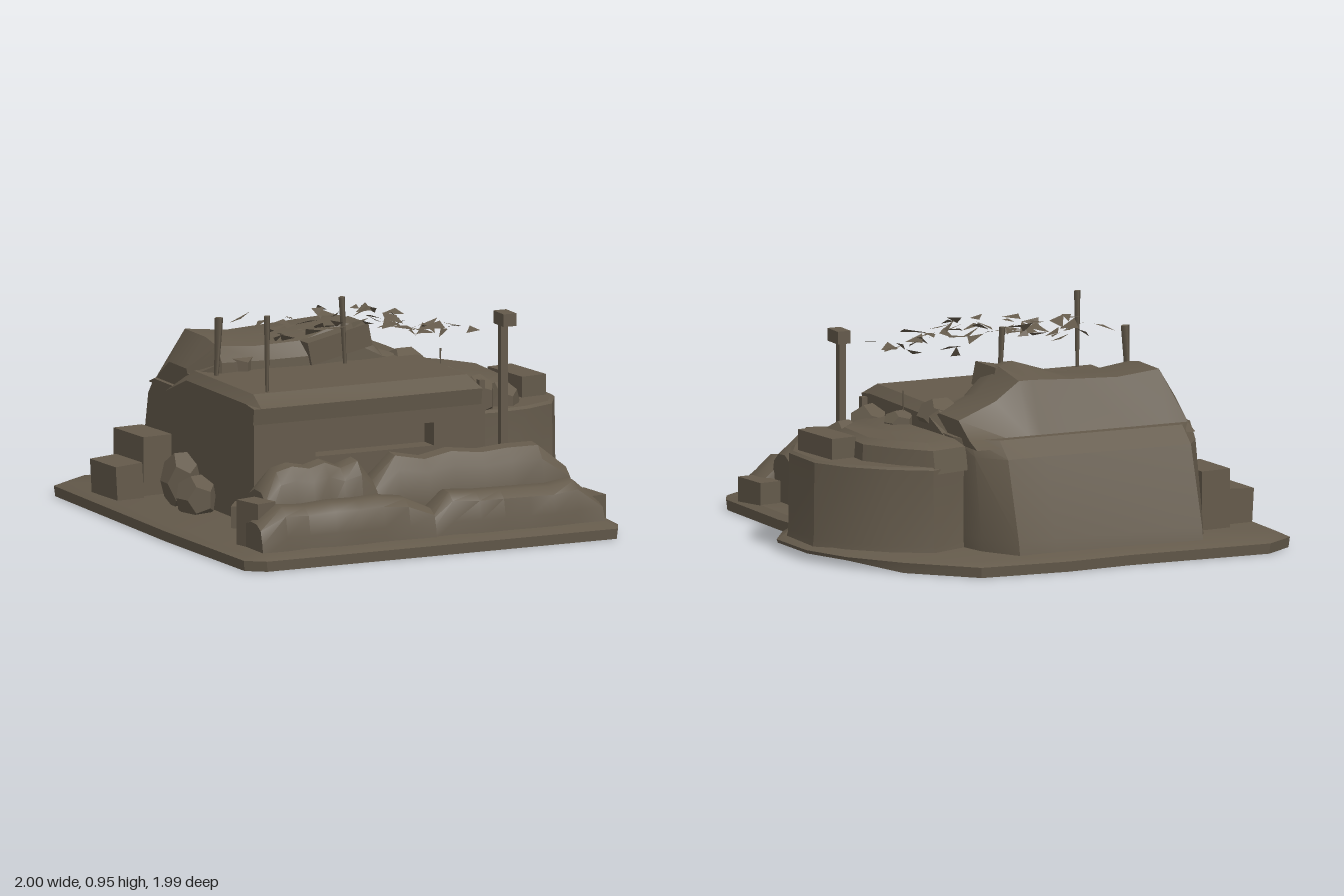
import * as THREE from 'three';
import { toCreasedNormals } from 'three/addons/utils/BufferGeometryUtils.js';

const earth = new THREE.MeshStandardMaterial({ color: 0x645a4b });
earth.name = 'earth brown';
const netting = new THREE.MeshStandardMaterial({ color: 0x645a4b, side: THREE.DoubleSide });
netting.name = 'net brown';

let seed = 11;
const rand = (a = 0, b = 1) => {
  seed = (seed * 16807) % 2147483647;
  return a + (b - a) * (seed / 2147483647);
};

// Closed solid skinned over rings of [x, y, z] points, with fan caps
function loft(rings, crease = 0.5) {
  const n = rings[0].length, pos = rings.flat(2), idx = [];
  for (let r = 0; r < rings.length - 1; r++)
    for (let i = 0; i < n; i++) {
      const a = r * n + i, b = r * n + (i + 1) % n;
      idx.push(a, b, a + n, b, b + n, a + n);
    }
  [0, rings.length - 1].forEach((r) => {
    const c = pos.length / 3;
    for (let k = 0; k < 3; k++) pos.push(rings[r].reduce((s, p) => s + p[k], 0) / n);
    for (let i = 0; i < n; i++) {
      const a = r * n + i, b = r * n + (i + 1) % n;
      if (r === 0) idx.push(c, b, a); else idx.push(c, a, b);
    }
  });
  // Turn the faces outwards
  const v = (i) => new THREE.Vector3().fromArray(pos, i * 3);
  let volume = 0;
  for (let i = 0; i < idx.length; i += 3) volume += v(idx[i]).dot(v(idx[i + 1]).cross(v(idx[i + 2])));
  if (volume < 0) idx.reverse();
  const g = new THREE.BufferGeometry();
  g.setAttribute('position', new THREE.Float32BufferAttribute(pos, 3));
  g.setIndex(idx);
  return toCreasedNormals(g, crease);
}

export function createModel() {
  const model = new THREE.Group();
  const add = (name, geo, mat = earth) => {
    const m = new THREE.Mesh(geo, mat);
    m.name = name;
    model.add(m);
    return m;
  };
  const box = (name, x, y, z, w, h, d, ry = 0, rz = 0) => {
    const m = add(name, new THREE.BoxGeometry(w, h, d));
    m.position.set(x, y, z);
    m.rotation.set(0, ry, rz);
    return m;
  };
  // Outline in x, z scaled about a centre, set at height y
  const ring = (outline, y, s = 1, cx = 0, cz = 0) =>
    outline.map(([x, z]) => [cx + (x - cx) * s, y, cz + (z - cz) * s]);

  // Ground slab, with a raised lobe under the annex
  const ground = [[-0.99, -0.9], [-0.85, -1], [-0.2, -0.98], [0.1, -1], [0.5, -0.97], [0.75, -0.72],
    [0.91, -0.5], [0.995, -0.28], [1, 0], [0.9, 0.15], [0.78, 0.2], [0.8, 0.4], [0.8, 0.91],
    [0.76, 0.99], [-0.9, 0.99], [-0.98, 0.93], [-1, 0.2]];
  const lift = (r) => r.map(([x, y, z]) => [x, x > 0.81 ? Math.max(y, 0.03) : y, z]);
  add('ground', loft([lift(ring(ground, 0, 0.995)), ring(ground, 0.045), ring(ground, 0.065, 0.96)]));

  // Rear body, sloping out to the back
  const plan = [[-0.65, 0.26], [0.42, 0.26], [0.42, -0.55], [0.38, -0.72], [0.28, -0.88],
    [0.1, -0.87], [-0.58, -0.89], [-0.65, -0.75]];
  const tuck = (y, k) => plan.map(([x, z]) => [x, y, z < -0.5 ? -0.5 + (z + 0.5) * k : z]);
  add('body', loft([tuck(0.04, 1.04), tuck(0.12, 1), tuck(0.46, 0.72), tuck(0.53, 0.5)], 0.4));

  // Front wall with the observation slit
  const wall = new THREE.Shape();
  wall.moveTo(-0.65, 0.04).lineTo(0.42, 0.04).lineTo(0.42, 0.57).lineTo(-0.65, 0.57);
  const slit = new THREE.Path();
  slit.moveTo(-0.36, 0.34).lineTo(-0.36, 0.44).lineTo(0.2, 0.44).lineTo(0.2, 0.34);
  wall.holes.push(slit);
  add('frontWall', new THREE.ExtrudeGeometry(wall, { depth: 0.1, bevelEnabled: false })).position.z = 0.25;

  // Roof slab with a chamfered front lip
  const roof = [[0.35, 0.5], [0.36, 0.57], [0.28, 0.62], [-0.3, 0.62], [-0.5, 0.5]];
  add('roof', loft([-0.655, -0.62, 0.39, 0.425].map((x, i) =>
    roof.map(([z, y]) => [x, i % 3 ? y : Math.min(y, 0.58), z]))));

  // Earth mound over the rear of the roof
  const mound = [[-0.63, 0.62, 0.1], [-0.54, 0.75, 0], [-0.35, 0.73, 0.02], [-0.13, 0.74, 0],
    [0.06, 0.8, 0.02], [0.12, 0.78, 0.01], [0.23, 0.67, 0.02], [0.4, 0.6, 0.04]];
  add('mound', loft(mound.map(([x, h, in_]) => [
    [x, 0.5, -0.18 - in_], [x, (h + 0.58) / 2, -0.19 - in_], [x, h - 0.02, -0.24 - in_],
    [x, h, -0.35], [x, Math.min(h, 0.75), -0.55 + in_ * 0.3], [x, 0.53, -0.645], [x, 0.5, -0.72],
  ]), 0.45));

  // Rocks: rough low polyhedra, squashed to size
  const rock = (x, y, z, w, h, d) => {
    const g = new THREE.DodecahedronGeometry(0.5, 0);
    g.scale(w, h, d);
    g.rotateY(rand(0, 3) * 0.2);
    add('rock', g).position.set(x, y, z);
  };
  [[-0.73, 0.17, -0.2, 0.17, 0.26, 0.2], [-0.74, 0.13, -0.03, 0.17, 0.2, 0.2],
    [-0.44, 0.63, -0.28, 0.2, 0.16, 0.22], [0.35, 0.57, -0.25, 0.2, 0.16, 0.2],
    [0.52, 0.48, 0.1, 0.18, 0.2, 0.18], [0.66, 0.44, 0.05, 0.17, 0.18, 0.18],
    [0.47, 0.53, -0.1, 0.14, 0.1, 0.14]].forEach((r) => rock(...r));
  box('roofSlab', 0.01, 0.7, -0.27, 0.3, 0.1, 0.18, 0.05, 0.2);

  // Annex: many-sided side tower with a raised parapet
  const annex = [[0.4, -0.6], [0.58, -0.67], [0.74, -0.57], [0.88, -0.43], [0.96, -0.28], [0.96, -0.03],
    [0.88, 0.11], [0.74, 0.17], [0.58, 0.19], [0.4, 0.17]];
  add('annexWall', loft([ring(annex, 0.03, 1.03, 0.6, -0.24), ring(annex, 0.09, 1, 0.6, -0.24),
    ring(annex, 0.42, 0.99, 0.6, -0.24), ring(annex, 0.43, 0.95, 0.6, -0.24)], 0.4));
  const parapet = [[0.4, -0.6], [0.57, -0.64], [0.68, -0.52], [0.77, -0.37], [0.76, -0.08], [0.62, 0.07], [0.45, 0.13]];
  add('annexRoof', loft([ring(parapet, 0.4, 1.05, 0.6, -0.24), ring(parapet, 0.5, 1, 0.6, -0.24),
    ring(parapet, 0.525, 0.85, 0.55, -0.24)]));
  box('annexCrate', 0.84, 0.46, -0.16, 0.12, 0.12, 0.27, 0.12);

  // Sandbags: lumpy humps lofted along x
  const bag = (x0, x1, z0, z1, y0, h, end = 0.6) => {
    const steps = 7, rings = [];
    for (let i = 0; i <= steps; i++) {
      const t = i / steps, e = i === 0 || i === steps ? end : 1;
      const top = y0 + (h - y0) * e * rand(0.9, 1.02), zm = (z0 + z1) / 2, hw = (z1 - z0) / 2;
      const x = x0 + (x1 - x0) * t, j = rand(-0.012, 0.012);
      rings.push([[-1, 0], [-1, 0.55], [-0.85, 0.88], [-0.3, 1], [0.35, 0.98], [0.8, 0.82], [1, 0.4], [1.08, 0]]
        .map(([u, v]) => [x, y0 + (top - y0) * v, zm + hw * u + j]));
    }
    add('sandbag', loft(rings, 0.7));
  };
  bag(-0.78, -0.25, 0.55, 0.75, 0.05, 0.39, 0.72);
  bag(-0.27, 0.66, 0.55, 0.74, 0.05, 0.39, 0.7);
  bag(-0.88, -0.06, 0.72, 0.9, 0.04, 0.25, 0.75);
  bag(-0.08, 0.74, 0.72, 0.9, 0.04, 0.24, 0.5);
  bag(-0.3, 0.36, 0.36, 0.53, 0.05, 0.21, 0.8);

  // Crates around the walls
  box('crate', -0.46, 0.12, 0.43, 0.34, 0.14, 0.15, 0.04);
  box('crate', -0.73, 0.18, -0.57, 0.14, 0.28, 0.25, 0.08);
  box('crate', -0.88, 0.13, -0.51, 0.13, 0.17, 0.22, 0.07, 0.06);
  box('crate', -0.69, 0.11, 0.33, 0.09, 0.1, 0.12, -0.6);
  box('crate', 0.53, 0.11, 0.34, 0.17, 0.11, 0.15, -0.5);
  box('crate', 0.73, 0.1, 0.73, 0.1, 0.12, 0.18, 0.1);
  box('crate', -0.83, 0.16, 0.74, 0.1, 0.2, 0.14, 0.25);

  // Posts that carry the net
  box('tallPost', 0.575, 0.45, 0.25, 0.032, 0.8, 0.032);
  box('postCap', 0.575, 0.845, 0.27, 0.06, 0.055, 0.1);
  box('shortPost', 0.48, 0.32, 0.23, 0.025, 0.52, 0.03);
  const stake = (x, z, y0, y1, r, lean) => {
    const m = add('stake', new THREE.CylinderGeometry(r, r * 0.5, y1 - y0, 4));
    m.position.set(x, (y0 + y1) / 2, z);
    m.rotation.z = lean;
  };
  stake(-0.545, 0.26, 0.6, 0.95, 0.015, 0);
  stake(-0.575, -0.16, 0.6, 0.87, 0.02, -0.05);
  stake(0.02, -0.16, 0.6, 0.91, 0.015, 0.05);
  stake(0.45, -0.1, 0.54, 0.66, 0.004, 0);

  // Torn camouflage net: loose strips and scraps sagging between the posts
  const net = [];
  for (let i = 0; i < 58; i++) {
    const x = rand(-0.5, 0.44), z = rand(-0.16, 0.27), a = rand(0, 6.28), s = rand(0.03, 0.08);
    const y = 0.85 + 0.03 * Math.cos(x * 9) - 0.04 * (x + 0.1) + rand(-0.02, 0.02);
    for (const [da, k] of [[0, 1], [2.2, 0.7], [3.9, 0.8]])
      net.push(x + Math.cos(a + da) * s * k, y + rand(-0.025, 0.025), z + Math.sin(a + da) * s * k * 0.7);
  }
  const netGeo = new THREE.BufferGeometry();
  netGeo.setAttribute('position', new THREE.Float32BufferAttribute(net, 3));
  netGeo.computeVertexNormals();
  add('camouflageNet', netGeo, netting);

  return model;
}
